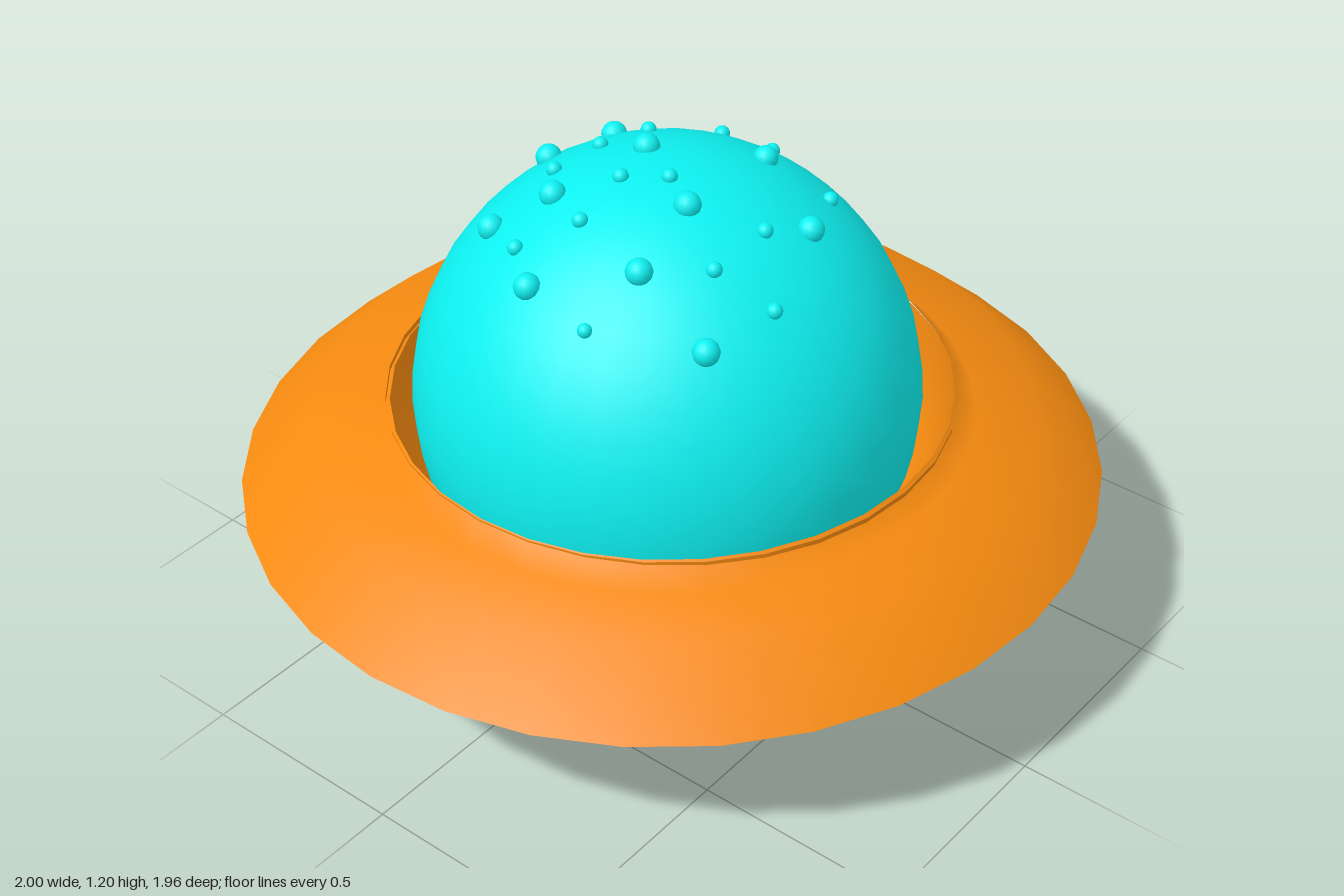
import * as THREE from 'three';

const orange = new THREE.MeshStandardMaterial({ color: 0xf58a10, side: THREE.DoubleSide });
const cyan = new THREE.MeshStandardMaterial({ color: 0x0ef0f0 });

// Bumps on the dome: x, z, radius
const BUMPS = [
  [-0.28, -0.28, 0.03], [-0.02, -0.34, 0.03], [0.165, -0.305, 0.03], [0.335, -0.28, 0.018],
  [-0.115, -0.24, 0.018], [0, -0.205, 0.018], [0.13, -0.175, 0.018], [-0.335, -0.16, 0.018],
  [-0.2, -0.17, 0.03], [-0.4, -0.07, 0.03], [-0.25, -0.05, 0.018], [-0.11, -0.055, 0.018],
  [0.02, -0.09, 0.03], [0.3, -0.1, 0.018], [0.37, -0.01, 0.018], [-0.055, 0.035, 0.018],
  [-0.42, 0.105, 0.016], [-0.285, 0.14, 0.03], [-0.1, 0.12, 0.03], [0.205, 0.095, 0.028],
  [-0.18, 0.255, 0.018], [-0.02, 0.265, 0.018], [0.25, 0.24, 0.018], [-0.3, 0.33, 0.03],
  [0.09, 0.305, 0.03], [-0.135, 0.38, 0.018],
];

export function createModel() {
  const group = new THREE.Group();
  const add = (name, geometry, material, x = 0, y = 0, z = 0) => {
    const mesh = new THREE.Mesh(geometry, material);
    mesh.name = name;
    mesh.position.set(x, y, z);
    group.add(mesh);
    return mesh;
  };
  const lathe = (points) =>
    new THREE.LatheGeometry(points.map(([r, y]) => new THREE.Vector2(r, y)), 32);

  // Open bowl: lower half of an ellipsoid
  const bowl = [];
  for (let i = 0; i <= 12; i++) {
    const a = (i / 12) * Math.PI / 2;
    bowl.push([0.648 * Math.sin(a), 0.6 - 0.6 * Math.cos(a)]);
  }
  add('bowl', lathe(bowl), orange, -0.005);

  // Thin sloping brim, open underneath
  const brim = add('brim', lathe([[1, 0.4], [0.84, 0.54], [0.7, 0.55], [0.648, 0.6]]), orange);
  brim.scale.z = 0.98;

  // Ball resting in the bowl
  const R = 0.577, cx = -0.02, cy = 0.6;
  add('ball', new THREE.SphereGeometry(R, 32, 24), cyan, cx, cy, 0);

  // Small round bumps scattered over the top
  const bumps = new THREE.Group();
  bumps.name = 'bumps';
  group.add(bumps);
  const bumpGeometry = new THREE.SphereGeometry(1, 14, 10);
  for (const [x, z, r] of BUMPS) {
    const dx = x - cx;
    const bump = new THREE.Mesh(bumpGeometry, cyan);
    bump.name = 'bump';
    bump.position.set(x, cy + Math.sqrt(R * R - dx * dx - z * z) + 0.003, z);
    bump.scale.setScalar(r);
    bumps.add(bump);
  }
  return group;
}
